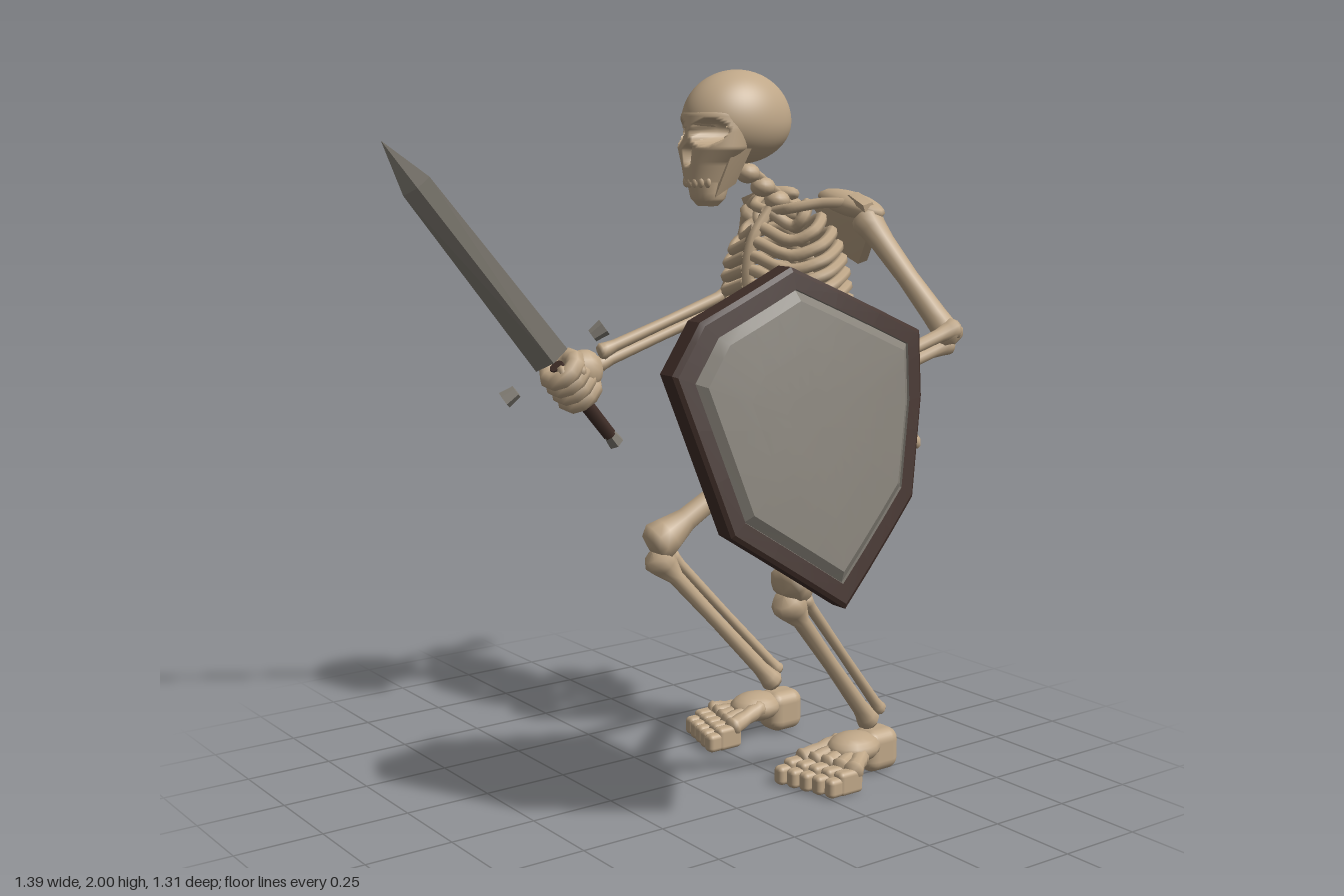
import * as THREE from 'three';
import { toCreasedNormals } from 'three/addons/utils/BufferGeometryUtils.js';
import { ConvexGeometry } from 'three/addons/geometries/ConvexGeometry.js';
import { RoundedBoxGeometry } from 'three/addons/geometries/RoundedBoxGeometry.js';

const material = (name, color) => {
  const m = new THREE.MeshStandardMaterial({ color });
  m.name = name;
  return m;
};
const V = (x, y, z) => new THREE.Vector3(x, y, z);
const UP = V(0, 1, 0);

export function createModel() {
  const BONE = material('bone', 0xbfa788);
  const METAL = material('metal', 0x847f76);
  const WOOD = material('darkWood', 0x402e28);
  const root = new THREE.Group();
  const body = new THREE.Group();
  body.name = 'skeleton';
  body.position.x = 0.012;
  root.add(body);

  const add = (parent, name, geo, mat = BONE) => {
    const mesh = new THREE.Mesh(geo, mat);
    mesh.name = name;
    parent.add(mesh);
    return mesh;
  };
  const aim = (mesh, a, dir) => {
    mesh.position.copy(a);
    mesh.quaternion.setFromUnitVectors(UP, dir.clone().normalize());
    return mesh;
  };
  // Long bone with knobbed ends, running from a to b
  const bone = (parent, name, a, b, r, e0, e1 = e0) => {
    const L = a.distanceTo(b), k = Math.min(0.16 * L, e0), q = Math.min(0.16 * L, e1);
    const profile = [[0, -e0 * 0.6], [e0 * 0.75, -e0 * 0.4], [e0, 0], [e0 * 0.85, k * 0.6], [r, k * 1.7],
      [r * 0.88, L / 2], [r, L - q * 1.7], [e1 * 0.85, L - q * 0.6], [e1, L], [e1 * 0.75, L + e1 * 0.4], [0, L + e1 * 0.6]];
    const geo = new THREE.LatheGeometry(profile.map(p => new THREE.Vector2(...p)), 10);
    return aim(add(parent, name, geo), a, b.clone().sub(a));
  };
  const blob = (parent, name, p, rx, ry, rz) => {
    const m = add(parent, name, new THREE.SphereGeometry(1, 14, 10));
    m.position.copy(p);
    m.scale.set(rx, ry, rz);
    return m;
  };
  const block = (parent, name, p, w, h, d, r) => {
    const m = add(parent, name, new RoundedBoxGeometry(w, h, d, 3, r));
    m.position.copy(p);
    return m;
  };
  const hull = (parent, name, pts, crease) => add(parent, name, toCreasedNormals(new ConvexGeometry(pts), crease));
  const tube = (parent, name, pts, r, closed = false, n = 24) =>
    add(parent, name, new THREE.TubeGeometry(new THREE.CatmullRomCurve3(pts, closed), n, r, 7, closed));
  const reshape = (geo, rule) => {
    const p = geo.attributes.position, v = V(0, 0, 0);
    for (let i = 0; i < p.count; i++) {
      rule(v.fromBufferAttribute(p, i));
      p.setXYZ(i, v.x, v.y, v.z);
    }
    geo.computeVertexNormals();
    return geo;
  };
  const pick = (table, t) => new THREE.CatmullRomCurve3(table.map(([y, z]) => V(0, y, z))).getPoint(t);

  // Skull: cranium and tapered face, with hollows for the eyes and nose
  const hollow = v => {
    if (v.z < -0.13) return;
    const eye = ((Math.abs(v.x) - 0.06) / 0.04) ** 2 + ((v.y - 1.834) / 0.033) ** 2;
    const nose = (v.x / 0.018) ** 2 + ((v.y - 1.772) / 0.028) ** 2;
    if (eye < 1) v.z -= 0.1 * Math.sqrt(1 - eye);
    if (nose < 1) v.z -= 0.035 * Math.sqrt(1 - nose);
  };
  add(body, 'cranium', reshape(new THREE.SphereGeometry(1, 64, 48), v => {
    const low = v.y < 0 ? 0.115 : 0.14;
    v.set(v.x * 0.128, 1.86 + v.y * low, -0.17 + v.z * 0.162);
    hollow(v);
  }));
  const face = [[1.70, -0.07, 0.058, 0.064], [1.75, -0.075, 0.078, 0.073], [1.79, -0.09, 0.11, 0.088],
    [1.84, -0.105, 0.112, 0.102], [1.88, -0.125, 0.112, 0.117], [1.91, -0.13, 0.1, 0.105]];
  const loft = (rows, segs, rings) => reshape(new THREE.CylinderGeometry(1, 1, 1, segs, rows).rotateY(Math.PI), v => {
    const t = (v.y + 0.5) * (rings.length - 1), i = Math.min(rings.length - 2, Math.floor(t)), f = t - i;
    const [y, z, rx, rz] = rings[i].map((a, k) => a + (rings[i + 1][k] - a) * f);
    v.set(v.x * rx, y, z + v.z * rz);
    hollow(v);
  });
  add(body, 'face', loft(40, 64, face));
  add(body, 'jaw', loft(6, 20, [[1.635, -0.072, 0.034, 0.024], [1.655, -0.073, 0.05, 0.046], [1.7, -0.075, 0.056, 0.06]]));
  for (let i = 0; i < 7; i++) {
    const a = (i - 3) * 0.33;
    blob(body, 'tooth', V(Math.sin(a) * 0.055, 1.70, -0.07 + Math.cos(a) * 0.058), 0.011, 0.015, 0.008);
  }

  // Spine
  const spine = [[1.72, -0.21], [1.63, -0.33], [1.55, -0.41], [1.42, -0.455], [1.3, -0.49], [1.2, -0.555], [1.1, -0.6]];
  for (let i = 0; i < 15; i++) {
    const p = pick(spine, i / 14), r = 0.034 + i * 0.0009;
    blob(body, 'vertebra', p, r, 0.028, r);
    const s = add(body, 'vertebraSpur', new THREE.CylinderGeometry(0.012, 0.02, 0.045, 6));
    aim(s, p.clone().add(V(0, -0.008, -0.034)), V(0, -0.4, -1));
  }
  // Breastbone
  const chest = [[1.62, -0.29], [1.54, -0.23], [1.46, -0.212], [1.38, -0.217], [1.3, -0.24]];
  tube(body, 'breastbone', chest.map(([y, z]) => V(0, y, z)), 0.016).scale.x = 1.2;

  for (const s of [-1, 1]) {
    const P = (x, y, z) => V(s * x, y, z);
    // Jaw side
    hull(body, 'jawSide', [[0.1, 1.79, -0.085], [0.1, 1.79, -0.145], [0.052, 1.66, -0.06], [0.056, 1.695, -0.125]]
      .flatMap(([x, y, z]) => [P(x, y, z), P(x - 0.022, y, z)]), 0.5);

    // Ribs
    [0.1, 0.145, 0.175, 0.188, 0.193, 0.193, 0.188, 0.18].forEach((w, i) => {
      const y = 1.60 - i * 0.038, back = pick(spine, 0.25 + i * 0.056), front = pick(chest, 0.04 + i * 0.12);
      const mid = (back.z + front.z) / 2;
      tube(body, 'rib', [P(0.02, back.y, back.z), P(w * 0.7, y + 0.035, back.z + 0.01), P(w, y, mid),
        P(w * 0.75, y - 0.025, front.z - 0.035), P(0.015, front.y, front.z - 0.005)], 0.0172);
    });

    // Collarbone, shoulder blade and shoulder cap
    tube(body, 'collarbone', [P(0.02, 1.615, -0.29), P(0.08, 1.625, -0.3), P(0.14, 1.64, -0.36), P(0.2, 1.64, -0.41)], 0.015);
    const plate = [P(0.04, 1.625, -0.44), P(0.12, 1.668, -0.44), P(0.2, 1.67, -0.43), P(0.27, 1.645, -0.42),
      P(0.265, 1.58, -0.45), P(0.15, 1.475, -0.51), P(0.08, 1.5, -0.51)];
    hull(body, 'shoulderBlade', plate.flatMap(p => [p.clone().add(V(0, 0, -0.01)), p.clone().add(V(0, -0.008, 0.024))]), 0.6);
    blob(body, 'shoulderCap', P(0.175, 1.636, -0.435), 0.122, 0.034, 0.052).rotation.set(0, s * 0.08, -s * 0.2);

    // Pelvis wing and lower ring
    const wing = new THREE.Shape();
    wing.moveTo(0.025, 1.12);
    wing.quadraticCurveTo(0.11, 1.19, 0.18, 1.155);
    wing.quadraticCurveTo(0.205, 1.07, 0.16, 0.985);
    wing.lineTo(0.13, 0.955);
    wing.lineTo(0.08, 0.965);
    wing.quadraticCurveTo(0.06, 1.04, 0.02, 1.04);
    const ilium = new THREE.ExtrudeGeometry(wing, { depth: 0.045, bevelSize: 0.01, bevelThickness: 0.012, bevelSegments: 3, curveSegments: 8 });
    reshape(ilium, v => { v.z += -0.63 + 0.55 * v.x + (1.1 - v.y) * 0.5; });
    const iliumMesh = add(body, 'pelvisWing', toCreasedNormals(ilium, 0.7));
    if (s < 0) iliumMesh.scale.x = -1;
    tube(body, 'pelvisRing', [P(0.13, 0.985, -0.48), P(0.09, 0.985, -0.435), P(0.045, 0.98, -0.425), P(0.065, 0.92, -0.43),
      P(0.09, 0.92, -0.47), P(0.12, 0.95, -0.51)], 0.031, true, 30);

    // Leg
    const hip = P(0.215, 0.945, -0.58), knee = P(0.31, 0.63, -0.125), ankle = P(0.222, 0.155, -0.49);
    bone(body, 'thighBone', hip, knee, 0.036, 0.045, 0.064);
    bone(body, 'hipJoint', P(0.135, 0.965, -0.53), hip, 0.028, 0.038, 0.036);
    bone(body, 'hipKnob', hip, P(0.25, 0.965, -0.625), 0.026, 0.03, 0.026);
    bone(body, 'shinBone', P(0.305, 0.58, -0.12), ankle, 0.024, 0.05, 0.035);
    bone(body, 'calfBone', P(0.312, 0.58, -0.175), P(0.235, 0.185, -0.52), 0.016, 0.022);

    // Foot
    block(body, 'heel', P(0.22, 0.062, -0.52), 0.1, 0.124, 0.12, 0.035);
    blob(body, 'instep', P(0.228, 0.085, -0.43), 0.07, 0.044, 0.085);
    for (let i = 0; i < 5; i++) {
      const x = 0.166 + i * 0.041, z = -0.295 - i * 0.012;
      bone(body, 'footBone', P(0.185 + i * 0.024, 0.092 - i * 0.005, -0.41), P(x, 0.062, z), 0.026, 0.027, 0.03);
      block(body, 'toe', P(x, 0.035, z + 0.02), 0.041, 0.07, 0.085, 0.014);
      block(body, 'toeTip', P(x, 0.028, z + 0.072), 0.038, 0.055, 0.05, 0.014);
    }
  }
  const sacrum = add(body, 'tailbone', new THREE.CylinderGeometry(0.06, 0.014, 0.15, 10));
  aim(sacrum, V(0, 1.06, -0.6), V(0, 1, 0.2));
  sacrum.scale.z = 0.6;

  // Arms: shoulder, elbow, wrist
  const arm = (name, shoulder, elbow, wrist) => {
    const g = new THREE.Group();
    g.name = name;
    root.add(g);
    bone(g, 'upperArmBone', shoulder, elbow, 0.033, 0.046, 0.042);
    for (const k of [-1, 1]) {
      const o = V(0.012 * k, 0.022 * k, 0);
      bone(g, 'forearmBone', elbow.clone().add(o), wrist.clone().add(o), 0.019, 0.03, 0.027);
    }
    return g;
  };
  // Fist wrapped round a rod: finger rings, palm and thumb
  const fist = (parent, centre, axis, wrist, r, thick) => {
    const g = new THREE.Group();
    g.name = 'fist';
    parent.add(g);
    aim(g, centre, axis);
    for (let i = 0; i < 4; i++) {
      const f = add(g, 'finger', new THREE.TorusGeometry(r, thick, 8, 10).rotateX(Math.PI / 2));
      f.position.y = (i - 1.5) * 0.034;
    }
    blob(parent, 'palm', centre.clone().lerp(wrist, 0.45), 0.055, 0.065, 0.06);
    bone(g, 'thumb', V(0.05, 0.03, -0.03), V(0.035, 0.07, 0.02), 0.018, 0.022);
  };
  const wristR = V(-0.585, 1.15, -0.11), wristL = V(0.48, 1.16, -0.1);
  const rightArm = arm('rightArm', V(-0.235, 1.595, -0.43), V(-0.49, 1.315, -0.53), wristR);
  const leftArm = arm('leftArm', V(0.26, 1.595, -0.43), V(0.51, 1.295, -0.51), wristL);

  // Sword: blade, grip, pommel and guard ends
  const pommel = V(-0.628, 0.89, -0.18), tip = V(-0.495, 1.81, 0.65);
  const axis = tip.clone().sub(pommel).normalize();
  fist(rightArm, V(-0.61, 1.085, -0.02), axis, wristR, 0.048, 0.031);
  fist(leftArm, V(0.488, 1.095, 0.035), UP, wristL, 0.04, 0.027);
  const sword = new THREE.Group();
  sword.name = 'sword';
  root.add(sword);
  const guardDir = V(0.13, 0.19, -0.235);
  guardDir.addScaledVector(axis, -guardDir.dot(axis)).normalize();
  sword.position.copy(pommel);
  sword.quaternion.setFromRotationMatrix(new THREE.Matrix4().makeBasis(guardDir, axis, guardDir.clone().cross(axis)));
  const total = tip.distanceTo(pommel);
  const bladePts = [V(0, total, 0)];
  for (const [y, w, t] of [[0.36, 0.058, 0.021], [total - 0.17, 0.045, 0.014]])
    bladePts.push(V(w, y, 0), V(-w, y, 0), V(0, y, t), V(0, y, -t));
  add(sword, 'blade', new ConvexGeometry(bladePts), METAL);
  add(sword, 'grip', new THREE.CylinderGeometry(0.023, 0.021, 0.32, 8), WOOD).position.y = 0.175;
  const chunk = (name, x, y) => {
    const m = add(sword, name, new THREE.CylinderGeometry(0.02, 0.027, 0.045, 6).toNonIndexed(), METAL);
    m.geometry.computeVertexNormals();
    m.position.set(x, y, 0);
    return m;
  };
  chunk('pommel', 0, 0);
  for (const k of [-1, 1]) chunk('guardEnd', k * 0.163, 0.345).rotation.z = k * Math.PI / 2;

  // Shield: curved plate, dark rim and back, metal face
  const corners = [[0.06, 1.51], [-0.31, 1.335], [-0.295, 1.17], [-0.235, 0.92], [0, 0.665], [0.285, 0.865], [0.39, 1.26], [0.31, 1.385]];
  const outline = corners.flatMap(([z, y], i) => {
    const [z2, y2] = corners[(i + 1) % corners.length];
    return [0, 1 / 3, 2 / 3].map(f => [z + (z2 - z) * f, y + (y2 - y) * f]);
  });
  const ring = ([scale, lift]) => outline.map(([oz, oy]) => {
    const z = 0.03 + (oz - 0.03) * scale, y = 1.12 + (oy - 1.12) * scale;
    return V(0.6 - 0.17 * (y - 1.1) - 0.16 * z - 0.22 * z * z + lift, y, z);
  });
  const skin = steps => {
    const rings = steps.map(ring), pts = [];
    for (let r = 0; r + 1 < rings.length; r++) {
      const A = rings[r], B = rings[r + 1];
      for (let i = 0; i < A.length; i++) {
        const j = (i + 1) % A.length;
        pts.push(A[i], B[i], A[j]);
        if (B[i].distanceTo(B[j]) > 1e-6) pts.push(A[j], B[i], B[j]);
      }
    }
    return toCreasedNormals(new THREE.BufferGeometry().setFromPoints(pts), 0.3);
  };
  const shield = new THREE.Group();
  shield.name = 'shield';
  root.add(shield);
  add(shield, 'shieldBack', skin([[0.85, -0.02], [0.5, -0.02], [0.02, -0.02]]).scale(1, 1, 1), WOOD).material.side = THREE.DoubleSide;
  add(shield, 'shieldRim', skin([[0.85, -0.02], [0.87, -0.035], [1, -0.035], [1, 0.015], [0.97, 0.022], [0.86, 0.022]]), WOOD);
  add(shield, 'shieldFace', skin([[0.86, 0.022], [0.855, 0.016], [0.79, 0.033], [0.5, 0.035], [0.25, 0.035], [0, 0.035]]), METAL);
  add(shield, 'shieldGrip', new THREE.CylinderGeometry(0.02, 0.02, 0.2, 8), WOOD).position.set(0.488, 1.095, 0.035);
  for (const k of [-1, 1]) block(shield, 'gripBracket', V(0.53, 1.095 + k * 0.09, 0.035), 0.11, 0.03, 0.035, 0.005).material = WOOD;
  return root;
}
